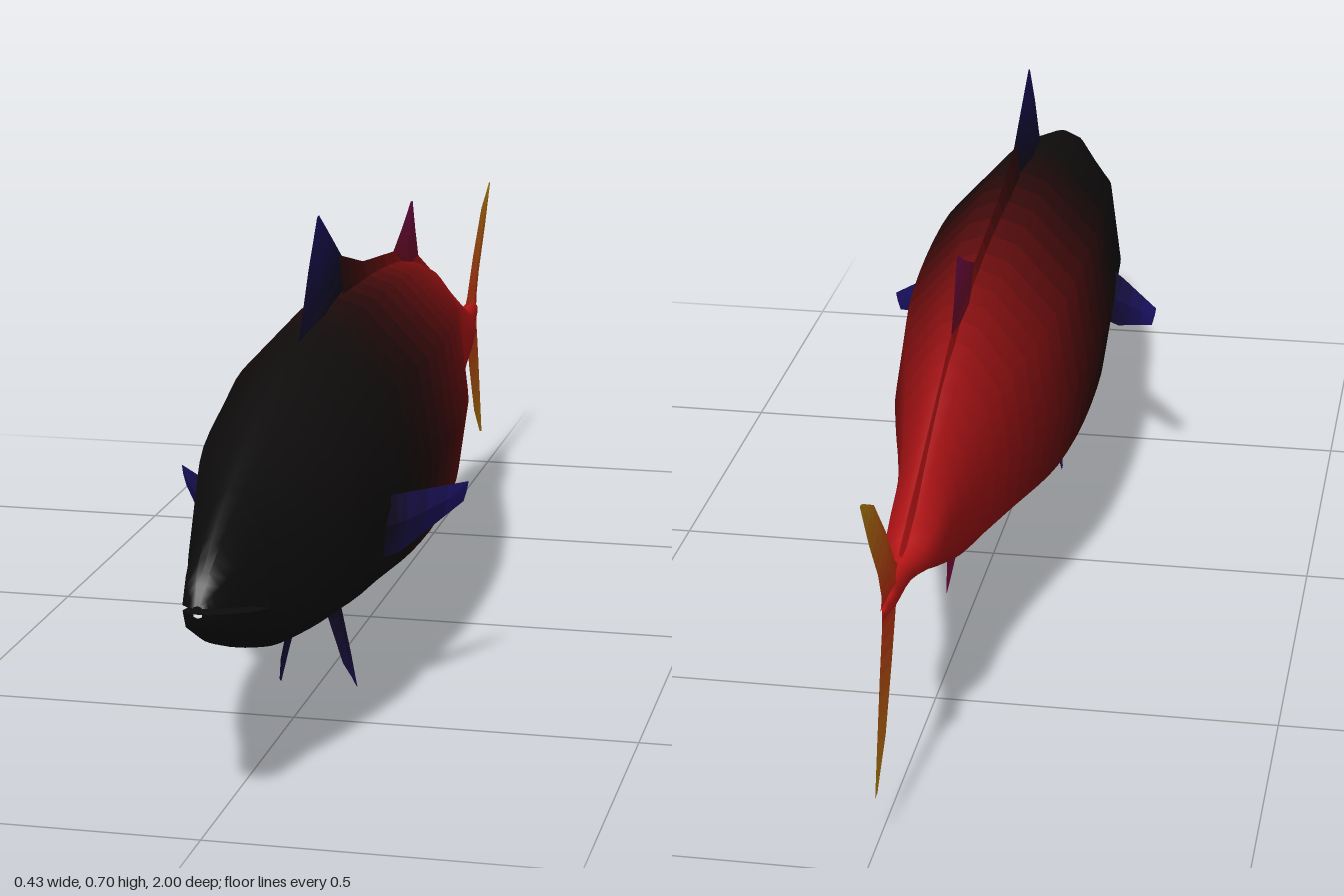
import * as THREE from 'three';
import { toCreasedNormals } from 'three/addons/utils/BufferGeometryUtils.js';

// Body stations from nose to tail: [z, top, middle, bottom, half width]
const HEAD = [
  [1.0, 0.316, 0.309, 0.3, 0.006], [0.985, 0.342, 0.306, 0.28, 0.02],
  [0.955, 0.368, 0.299, 0.258, 0.033], [0.9, 0.402, 0.285, 0.234, 0.043], [0.84, 0.432, 0.27, 0.212, 0.055],
];
const TRUNK = [
  [0.84, 0.432, 0.27, 0.212, 0.055], [0.73, 0.475, 0.277, 0.178, 0.09], [0.6, 0.513, 0.29, 0.155, 0.12],
  [0.45, 0.545, 0.31, 0.132, 0.132], [0.3, 0.563, 0.32, 0.118, 0.147], [0.1, 0.562, 0.32, 0.113, 0.147],
  [-0.1, 0.548, 0.32, 0.13, 0.134], [-0.25, 0.527, 0.32, 0.153, 0.106], [-0.4, 0.488, 0.32, 0.183, 0.072],
  [-0.55, 0.425, 0.32, 0.235, 0.046], [-0.68, 0.365, 0.32, 0.288, 0.037], [-0.75, 0.343, 0.32, 0.305, 0.017],
  [-0.82, 0.345, 0.32, 0.3, 0.01], [-0.875, 0.325, 0.318, 0.305, 0.002],
];

// Body colour by z, from black head to red tail
const TONES = [[1, 0x0d0d0d], [0.4, 0x100c0c], [0.25, 0x200909], [0.05, 0x450a0b], [-0.15, 0x700d0e],
  [-0.4, 0x9c1113], [-0.7, 0xb01315], [-0.9, 0xcc1c16]];
function bodyColor(z) {
  let i = 0;
  while (i < TONES.length - 2 && z < TONES[i + 1][0]) i++;
  const [z0, c0] = TONES[i], [z1, c1] = TONES[i + 1];
  const t = THREE.MathUtils.clamp((z - z0) / (z1 - z0), 0, 1);
  return mix(c0, c1, t);
}
function mix(a, b, t) {
  const p = new THREE.Color(a).convertLinearToSRGB(), q = new THREE.Color(b).convertLinearToSRGB();
  return p.lerp(q, t).convertSRGBToLinear();
}

// Smoothly refine a station list
function refine(stations, steps) {
  const a = new THREE.CatmullRomCurve3(stations.map(s => new THREE.Vector3(s[0], s[1], s[3])), false, 'catmullrom');
  const b = new THREE.CatmullRomCurve3(stations.map(s => new THREE.Vector3(s[2], s[4], 0)), false, 'catmullrom');
  const n = (stations.length - 1) * steps;
  return Array.from({ length: n + 1 }, (_, i) => {
    const p = a.getPoint(i / n), q = b.getPoint(i / n);
    return [p.x, p.y, q.x, p.z, q.y];
  });
}

// Half outlines as [x share, height share], counter-clockwise from the front
const UPPER = [[1, 0], [0.85, 0.585], [0.3, 0.94], [0, 1], [-0.3, 0.94], [-0.85, 0.585], [-1, 0]];
const LOWER = [[-1, 0], [-0.88, 0.6], [-0.29, 0.97], [0, 1], [0.29, 0.97], [0.88, 0.6], [1, 0]];
const upperRing = ([z, t, m, , w], gap = 0) => UPPER.map(([x, y]) => [x * w, m + gap + y * (t - m - gap), z]);
const lowerRing = ([z, , m, b, w], gap = 0) => LOWER.map(([x, y]) => [x * w, m - gap - y * (m - gap - b), z]);

// Join rings of points into one coloured band per step
function loft(name, rings, colorAt, flat) {
  const n = rings[0].length, index = [];
  for (let i = 0; i < rings.length - 1; i++) {
    for (let j = 0; j < n; j++) {
      const a = i * n + j, b = i * n + (j + 1) % n;
      index.push(a, a + n, b, b, a + n, b + n);
    }
  }
  let geo = new THREE.BufferGeometry();
  geo.setAttribute('position', new THREE.Float32BufferAttribute(rings.flat(2), 3));
  geo.setIndex(index);
  geo = toCreasedNormals(geo, flat ? 0.4 : 1.0);
  const group = new THREE.Group();
  group.name = name;
  for (let i = 0; i < rings.length - 1; i++) {
    const band = new THREE.BufferGeometry();
    for (const key of ['position', 'normal']) {
      const part = geo.getAttribute(key).array.slice(i * n * 18, (i + 1) * n * 18);
      band.setAttribute(key, new THREE.BufferAttribute(part, 3));
    }
    const mesh = new THREE.Mesh(band, new THREE.MeshStandardMaterial({
      color: colorAt(i, rings), side: flat ? THREE.DoubleSide : THREE.FrontSide, flatShading: !!flat,
    }));
    mesh.name = name + 'Band' + (i + 1);
    group.add(mesh);
  }
  return group;
}
const byZ = (i, rings) => bodyColor((rings[i][0][2] + rings[i + 1][0][2]) / 2);

// Thin fin from chord sections [leading point, trailing point, half thickness]
function fin(name, sections, normal, base, tip, steps = 3) {
  const rings = [];
  const V = p => new THREE.Vector3(...p);
  sections.forEach(([l, t, h], i) => {
    const next = sections[i + 1];
    for (let k = 0; k < (next ? steps : 1); k++) {
      const f = k / steps;
      const lead = V(l), trail = V(t);
      let half = h;
      if (next) {
        lead.lerp(V(next[0]), f);
        trail.lerp(V(next[1]), f);
        half += (next[2] - h) * f;
      }
      const mid = lead.clone().lerp(trail, 0.45), off = V(normal).normalize().multiplyScalar(half);
      rings.push([lead, mid.clone().add(off), trail, mid.clone().sub(off)].map(p => p.toArray()));
    }
  });
  const last = rings.length - 2;
  const colorAt = base === undefined ? byZ : i => mix(base, tip, i / last);
  return loft(name, rings, colorAt, true);
}
// Fin in the middle plane, sections given as [z, y, z, y, half thickness]
const middleFin = (name, list, base, tip) =>
  fin(name, list.map(([a, b, c, d, h]) => [[0, b, a], [0, d, c], h]), [1, 0, 0], base, tip);

export function createModel() {
  const fish = new THREE.Group();
  fish.name = 'fish';

  // Trunk: upper and lower outlines share their side points
  const full = s => [...upperRing(s), ...lowerRing(s).slice(1, -1)];
  fish.add(loft('body', refine(TRUNK, 3).map(full), byZ));

  // Jaws with a narrow open mouth between them
  const head = refine(HEAD, 2);
  const gap = s => 0.004 * Math.min(1, (s[0] - 0.84) / 0.05);
  fish.add(loft('upperJaw', head.map(s => upperRing(s, gap(s))), byZ));
  fish.add(loft('lowerJaw', head.map(s => lowerRing(s, gap(s))), byZ));

  // Fins along the middle
  fish.add(middleFin('frontDorsalFin', [
    [0.47, 0.52, 0.17, 0.54, 0.012], [0.455, 0.55, 0.19, 0.616, 0.006],
    [0.4, 0.635, 0.25, 0.653, 0.003], [0.348, 0.7, 0.335, 0.704, 0.001]], 0x100c14, 0x1c1266));
  fish.add(middleFin('rearDorsalFin', [
    [-0.15, 0.52, -0.37, 0.48, 0.01], [-0.17, 0.557, -0.36, 0.515, 0.005],
    [-0.24, 0.585, -0.335, 0.565, 0.003], [-0.3, 0.614, -0.315, 0.612, 0.001]], 0x6a0c18, 0x780c50));
  fish.add(middleFin('analFin', [
    [-0.28, 0.19, -0.41, 0.21, 0.01], [-0.3, 0.163, -0.405, 0.175, 0.005],
    [-0.4, 0.132, -0.41, 0.125, 0.001]], 0x8a1020, 0x800c50));
  // Low ridge along the back
  fish.add(middleFin('backRidge', [
    [0.21, 0.53, 0.21, 0.622, 0.007], [0.05, 0.53, 0.05, 0.582, 0.007], [-0.17, 0.51, -0.17, 0.556, 0.007],
    [-0.36, 0.47, -0.36, 0.514, 0.007], [-0.55, 0.4, -0.55, 0.433, 0.006], [-0.75, 0.33, -0.75, 0.347, 0.004]]));

  // Tail lobes
  fish.add(middleFin('upperTailLobe', [
    [-0.74, 0.325, -0.87, 0.31, 0.01], [-0.785, 0.355, -0.875, 0.345, 0.006], [-0.84, 0.422, -0.895, 0.385, 0.004],
    [-0.915, 0.495, -0.95, 0.455, 0.003], [-0.985, 0.528, -1, 0.53, 0.001]], 0xc41a16, 0xc08a12));
  fish.add(middleFin('lowerTailLobe', [
    [-0.74, 0.322, -0.87, 0.33, 0.01], [-0.775, 0.3, -0.875, 0.295, 0.006], [-0.81, 0.225, -0.893, 0.235, 0.004],
    [-0.86, 0.132, -0.915, 0.15, 0.003], [-0.915, 0.08, -0.934, 0.075, 0.001]], 0xc41a16, 0xc08a12));

  // Paired fins
  for (const [side, s] of [['left', 1], ['right', -1]]) {
    fish.add(fin(side + 'PectoralFin', [
      [[s * 0.115, 0.325, 0.47], [s * 0.105, 0.23, 0.47], 0.012],
      [[s * 0.148, 0.323, 0.42], [s * 0.14, 0.236, 0.425], 0.008],
      [[s * 0.217, 0.315, 0.31], [s * 0.21, 0.285, 0.312], 0.001]], [s * 0.84, 0, 0.54], 0x100c14, 0x1c1266));
    fish.add(fin(side + 'PelvicFin', [
      [[s * 0.022, 0.16, 0.42], [s * 0.022, 0.16, 0.33], 0.008],
      [[s * 0.031, 0.115, 0.405], [s * 0.031, 0.115, 0.33], 0.006],
      [[s * 0.047, 0.05, 0.39], [s * 0.047, 0.05, 0.338], 0.003],
      [[s * 0.058, 0.008, 0.354], [s * 0.058, 0, 0.344], 0.001]], [1, 0.2 * s, 0], 0x100c14, 0x1c1250));
  }
  return fish;
}
